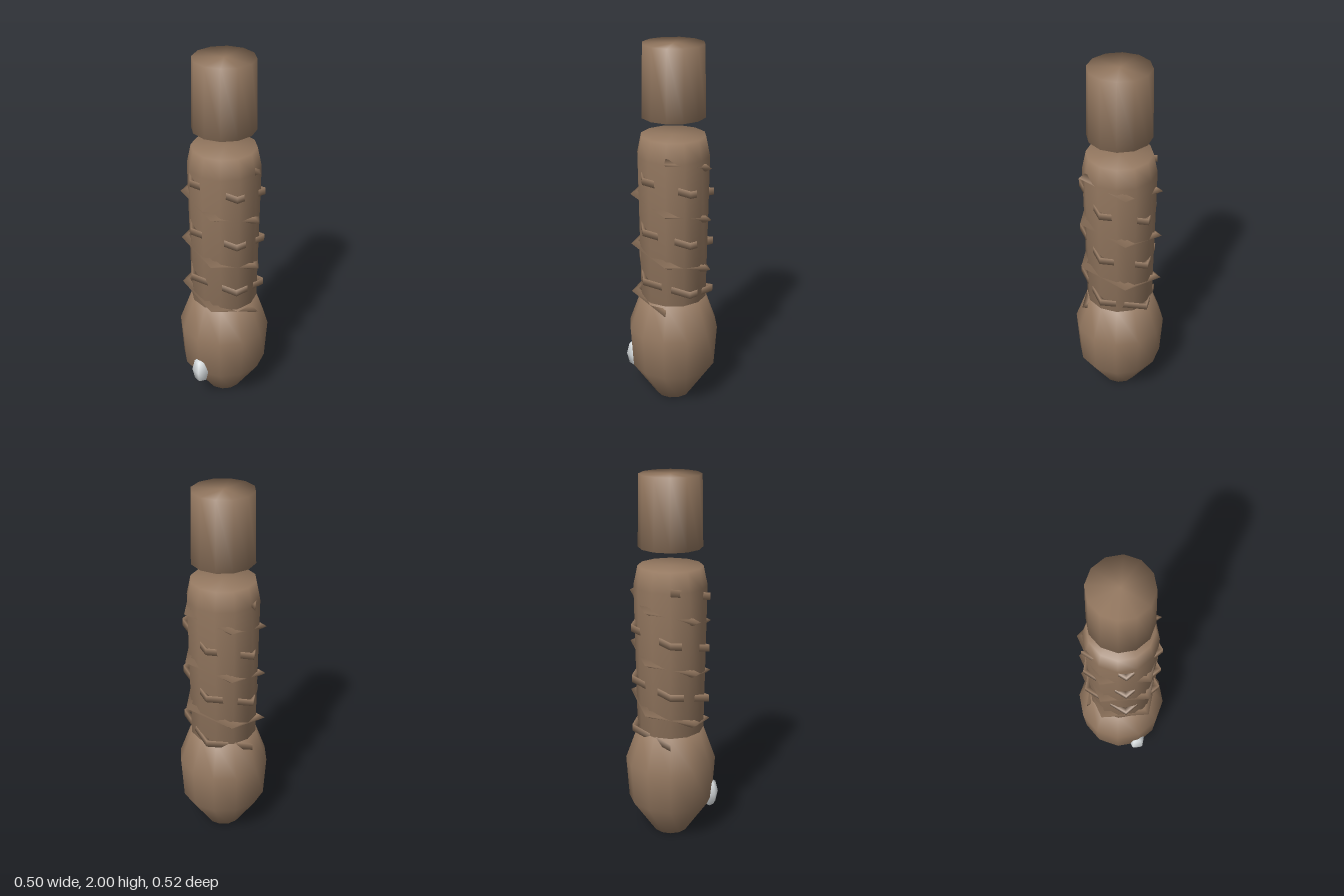
import * as THREE from 'three';

const AXIS_Z = -0.01;

const wood = new THREE.MeshStandardMaterial({ color: 0x947860 });
wood.name = 'warm brown';
const pale = new THREE.MeshStandardMaterial({ color: 0xdde2e4 });
pale.name = 'pale grey';

// Twelve-sided turned part, smooth shaded, closed at both ends
function turned(name, profile) {
  const bottom = profile[0][1], top = profile[profile.length - 1][1];
  const points = [[0, bottom], ...profile, [0, top]].map(([r, y]) => new THREE.Vector2(r, y));
  const mesh = new THREE.Mesh(new THREE.LatheGeometry(points, 12), wood);
  mesh.name = name;
  return mesh;
}

// Coarse helix of triangular section, five corners per turn
function coil(name, startAngle, outward) {
  const radius = 0.206, thick = 0.023, turns = 3, perTurn = 5, pitch = 0.284, y0 = 0.58;
  const steps = turns * perTurn;
  const pos = [], index = [];
  for (let i = 0; i <= steps; i++) {
    const a = startAngle + (i / perTurn) * Math.PI * 2;
    const y = y0 + (i / perTurn) * pitch;
    for (let k = 0; k < 3; k++) {
      const v = (k / 3) * Math.PI * 2 + (outward ? 0 : Math.PI);
      const r = radius + thick * Math.cos(v);
      pos.push(r * Math.cos(a), y + thick * Math.sin(v), r * Math.sin(a));
    }
  }
  for (let i = 0; i < steps; i++) {
    for (let k = 0; k < 3; k++) {
      const a = i * 3 + k, b = i * 3 + (k + 1) % 3, c = a + 3, d = b + 3;
      index.push(a, b, c, b, d, c);
    }
  }
  // end caps
  const e = steps * 3;
  index.push(0, 2, 1, e, e + 1, e + 2);
  const geo = new THREE.BufferGeometry();
  geo.setAttribute('position', new THREE.Float32BufferAttribute(pos, 3));
  geo.setIndex(index);
  geo.computeVertexNormals();
  const mesh = new THREE.Mesh(geo, wood);
  mesh.name = name;
  return mesh;
}

export function createModel() {
  const model = new THREE.Group();
  model.name = 'carvedHandle';

  const body = new THREE.Group();
  body.name = 'body';
  body.position.z = AXIS_Z;
  model.add(body);

  // Bulb, shaft and separate cap above it
  body.add(turned('bulb', [[0.095, 0], [0.232, 0.2], [0.248, 0.43], [0.18, 0.62]]));
  body.add(turned('shaft', [[0.181, 0.61], [0.195, 1.42], [0.173, 1.525]]));
  body.add(turned('cap', [[0.17, 1.625], [0.163, 2]]));

  // Two opposed coils that break through the shaft at their corners
  body.add(coil('sharpCoil', 0, true));
  body.add(coil('bluntCoil', Math.PI, false));

  // Small faceted stone set in the front of the bulb
  const gem = new THREE.Mesh(new THREE.SphereGeometry(0.05, 5, 4), pale);
  gem.name = 'frontStone';
  gem.scale.y = 1.75;
  gem.rotation.y = Math.PI;
  gem.position.set(0, 0.213, 0.21);
  model.add(gem);

  return model;
}
